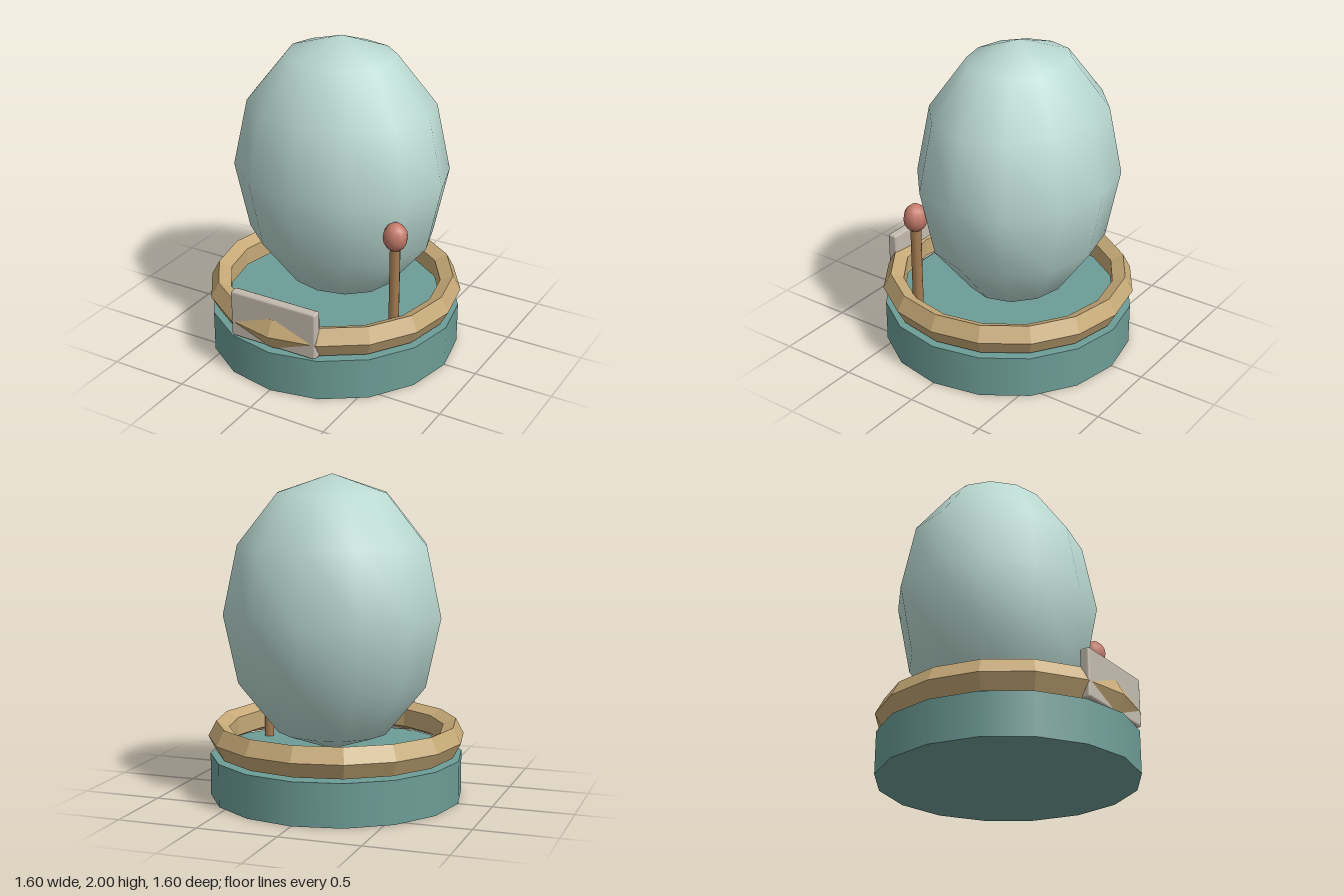
import * as THREE from 'three';
import { RoundedBoxGeometry } from 'three/addons/geometries/RoundedBoxGeometry.js';

function material(name, color, flatShading = false) {
  const m = new THREE.MeshStandardMaterial({ color, flatShading });
  m.name = name;
  return m;
}

export function createModel() {
  const group = new THREE.Group();
  group.name = 'eggOnStand';

  const teal = material('teal', 0x6d9d97);
  const paleGreen = material('paleGreen', 0xb9d8d0);
  const sand = material('sand', 0xc6a977, true);
  const wood = material('wood', 0xa57c52);
  const coral = material('coral', 0xc47a6b);
  const stone = material('stone', 0xc4bbae);

  const add = (name, geometry, mat, x, y, z) => {
    const mesh = new THREE.Mesh(geometry, mat);
    mesh.name = name;
    mesh.position.set(x, y, z);
    group.add(mesh);
    return mesh;
  };

  // Round base
  add('base', new THREE.CylinderGeometry(0.788, 0.788, 0.265, 16), teal, 0, 0.1325, 0);

  // Faceted ring hovering just above the base, taller than it is thick
  const ring = new THREE.TorusGeometry(0.728, 0.072, 5, 16);
  ring.scale(1, 1, 1.38);
  ring.rotateX(-Math.PI / 2);
  add('ring', ring, sand, 0, 0.375, 0);

  // Egg, slightly flattened front to back
  const egg = new THREE.SphereGeometry(1, 12, 6);
  egg.scale(0.69, 0.85, 0.6);
  add('egg', egg, paleGreen, 0, 1.15, -0.08);

  // Post with a knob
  add('post', new THREE.CylinderGeometry(0.033, 0.033, 0.65, 8), wood, 0.57, 0.585, 0.28);
  const knob = new THREE.SphereGeometry(1, 10, 8);
  knob.scale(0.076, 0.09, 0.073);
  add('knob', knob, coral, 0.57, 0.96, 0.28);

  // Bevelled front plate, cut through by the ring
  add('frontPlate', new RoundedBoxGeometry(0.59, 0.305, 0.064, 1, 0.015), stone, 0, 0.43, 0.714);

  return group;
}
